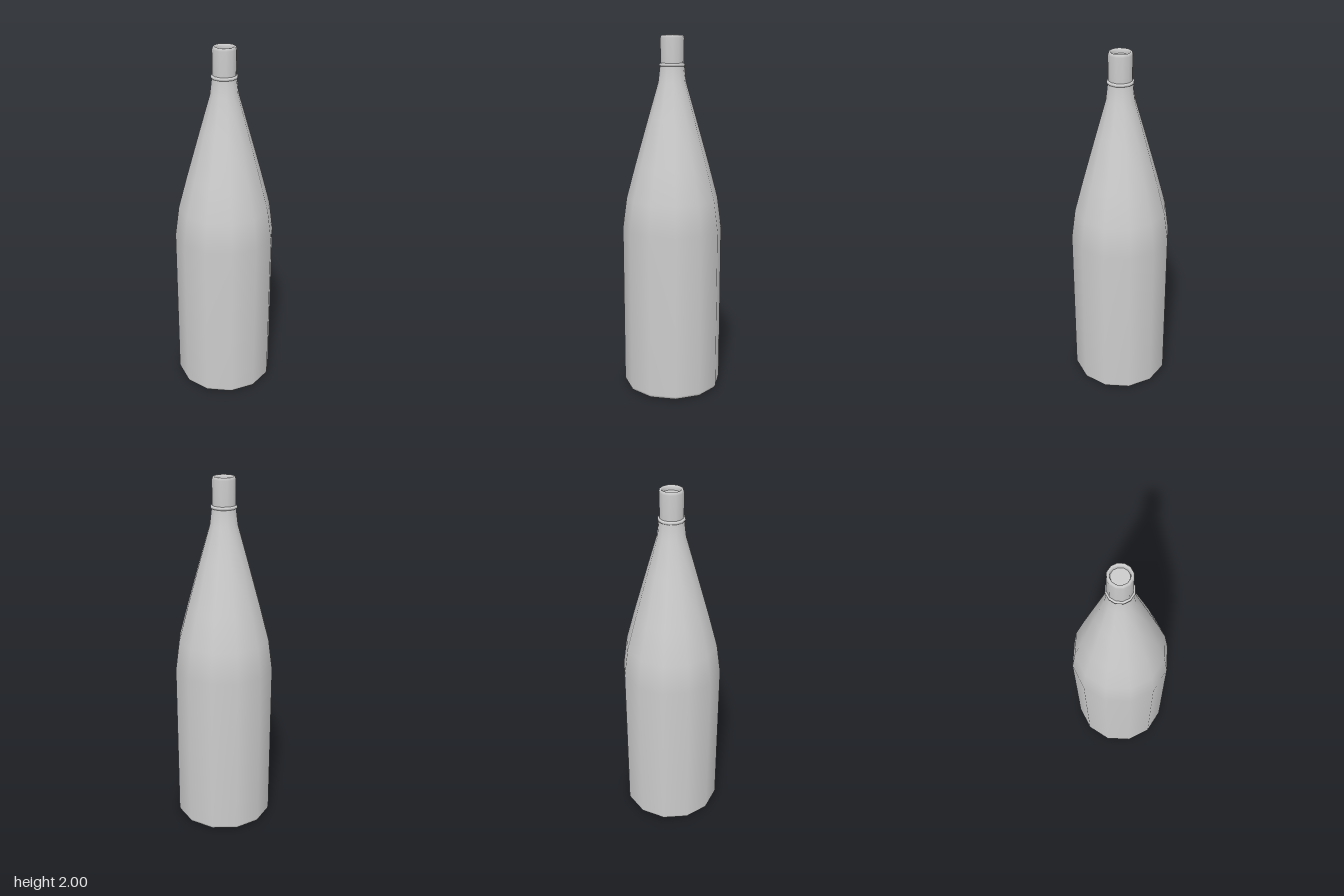
import * as THREE from 'three';

const SIDES = 12;

export function createModel() {
  const group = new THREE.Group();
  const material = new THREE.MeshStandardMaterial({ color: 0xcccccc });

  // Revolve a [radius, height] profile around the y axis
  const turn = (name, profile) => {
    const points = profile.map(([r, y]) => new THREE.Vector2(r, y));
    const mesh = new THREE.Mesh(new THREE.LatheGeometry(points, SIDES), material);
    mesh.name = name;
    group.add(mesh);
  };

  // Flat underside
  turn('base', [[0, 0], [0.262, 0]]);

  // Bevelled foot, straight wall, shoulder and tapering neck
  turn('body', [
    [0.262, 0], [0.275, 0.005], [0.28, 0.02], [0.28, 0.94], [0.257, 1.11],
    [0.206, 1.3], [0.132, 1.56], [0.077, 1.75], [0.067, 1.835],
  ]);

  // Raised ring under the mouth
  turn('neckRing', [
    [0.066, 1.834], [0.072, 1.837], [0.073, 1.843], [0.072, 1.849], [0.064, 1.852],
  ]);

  // Mouth wall with rounded lip, running down into the opening
  turn('mouth', [
    [0.064, 1.85], [0.065, 1.985], [0.061, 1.997], [0.056, 2],
    [0.05, 1.997], [0.047, 1.988], [0.047, 1.975],
  ]);

  // Surface closing the opening
  turn('stopper', [[0.047, 1.975], [0, 1.975]]);

  return group;
}
